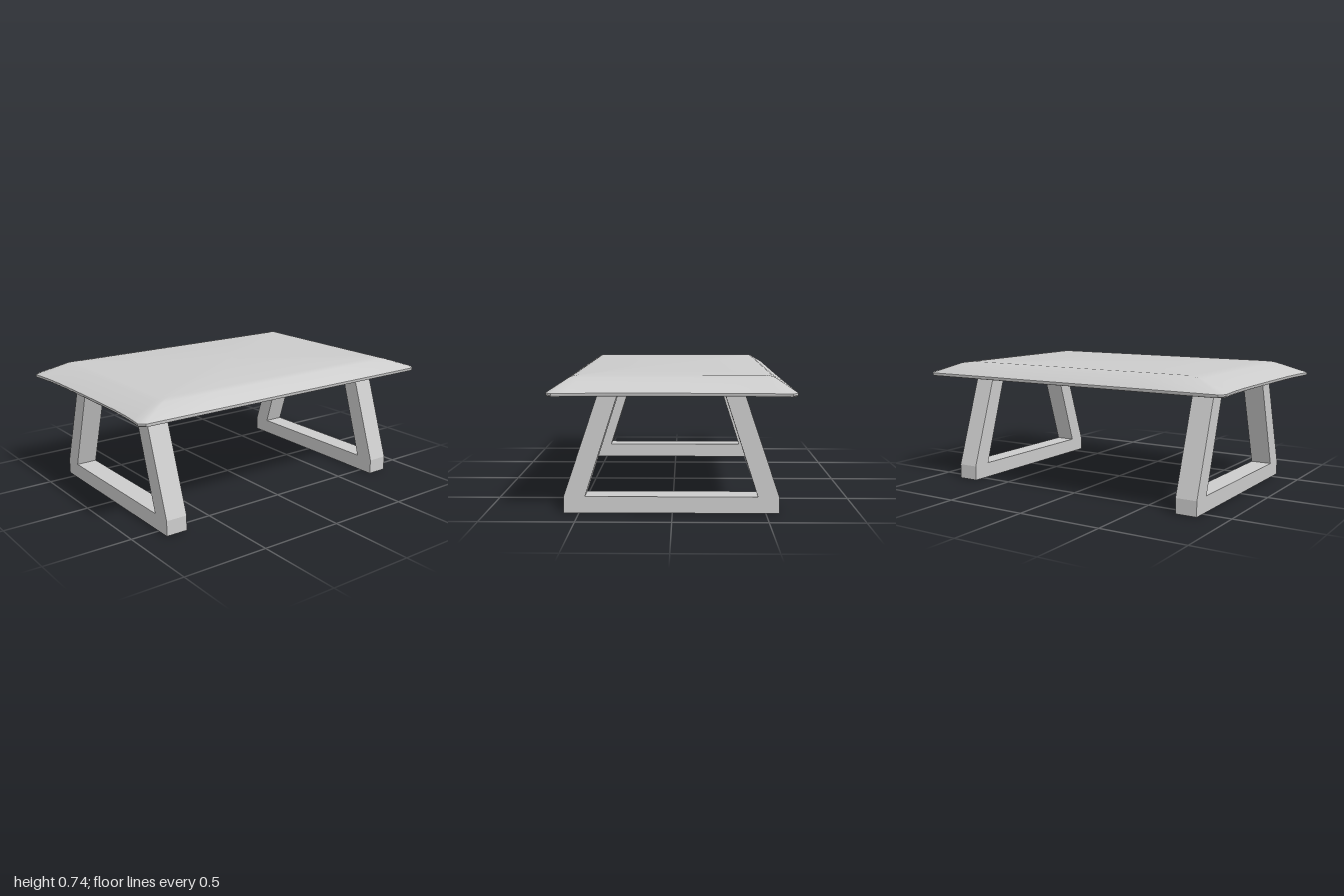
import * as THREE from 'three';
import { toCreasedNormals } from 'three/addons/utils/BufferGeometryUtils.js';

const material = new THREE.MeshStandardMaterial({ color: 0xcccccc });

// Half the outline of the top: [rim x, rim z, inner x, inner z], counter-clockwise from above.
// The short sides bow inward; the corners are clipped.
const rightEdge = [
  [0.975, 0.33, 0.8, 0.3], [0.973, 0.12, 0.8, 0.1], [0.973, -0.12, 0.8, -0.1],
  [0.975, -0.33, 0.8, -0.3], [0.981, -0.45, 0.8, -0.4], [0.99, -0.54, 0.8, -0.48],
  [0.999, -0.608, 0.8, -0.522], [0.97, -0.638, 0.792, -0.53],
  [0.5, -0.636, 0.45, -0.53], [0, -0.635, 0, -0.53], [-0.5, -0.636, -0.45, -0.53],
  [-0.97, -0.638, -0.792, -0.53], [-0.999, -0.608, -0.8, -0.522],
  [-0.99, -0.54, -0.8, -0.48], [-0.981, -0.45, -0.8, -0.4],
];
const outline = [...rightEdge, ...rightEdge.map((p) => p.map((v) => -v))];

// Cross-section from underside to top face: [inset from rim to inner rectangle, height]
const section = [
  [0.12, 0.645], [0.03, 0.647], [0, 0.654], [0, 0.664], [0.06, 0.67],
  [0.5, 0.7], [0.88, 0.726], [1, 0.731], [1.22, 0.735],
];

function makeTop() {
  const n = outline.length;
  const positions = [];
  const index = [];
  for (const [t, y] of section) {
    for (const [rx, rz, ix, iz] of outline) {
      // beyond the inner rectangle, shrink it toward the centre
      const k = Math.min(t, 1);
      const s = t > 1 ? 1 - (t - 1) * 0.25 : 1;
      positions.push((rx + (ix - rx) * k) * s, y, (rz + (iz - rz) * k) * s);
    }
  }
  const last = section.length - 1;
  const bottomCentre = positions.length / 3;
  positions.push(0, section[0][1], 0, 0, section[last][1], 0);
  for (let j = 0; j < n; j++) {
    const k = (j + 1) % n;
    for (let i = 0; i < last; i++) {
      const a = i * n + j, b = i * n + k, c = b + n, d = a + n;
      index.push(a, b, c, a, c, d);
    }
    index.push(bottomCentre, k, j);
    index.push(bottomCentre + 1, last * n + j, last * n + k);
  }
  const geometry = new THREE.BufferGeometry();
  geometry.setAttribute('position', new THREE.Float32BufferAttribute(positions, 3));
  geometry.setIndex(index);
  return toCreasedNormals(geometry, 0.7);
}

// Leg frame: a floor bar with two uprights leaning inward, drawn in the z-y plane
function makeLegFrame() {
  const half = [[0.577, 0], [0.577, 0.087], [0.385, 0.648], [0.28, 0.648], [0.462, 0.09]];
  const mirrored = half.map(([z, y]) => [-z, y]).reverse();
  const shape = new THREE.Shape([...half, ...mirrored].map(([z, y]) => new THREE.Vector2(z, y)));
  const width = 0.126;
  const geometry = new THREE.ExtrudeGeometry(shape, { depth: width, bevelEnabled: false });
  geometry.translate(0, 0, -width / 2);
  geometry.rotateY(-Math.PI / 2);
  return geometry;
}

export function createModel() {
  const table = new THREE.Group();
  table.name = 'table';

  const top = new THREE.Mesh(makeTop(), material);
  top.name = 'tableTop';
  table.add(top);

  const legGeometry = makeLegFrame();
  for (const [name, x] of [['leftLegFrame', 0.762], ['rightLegFrame', -0.768]]) {
    const leg = new THREE.Mesh(legGeometry, material);
    leg.name = name;
    leg.position.set(x, 0, 0.005);
    table.add(leg);
  }
  return table;
}
